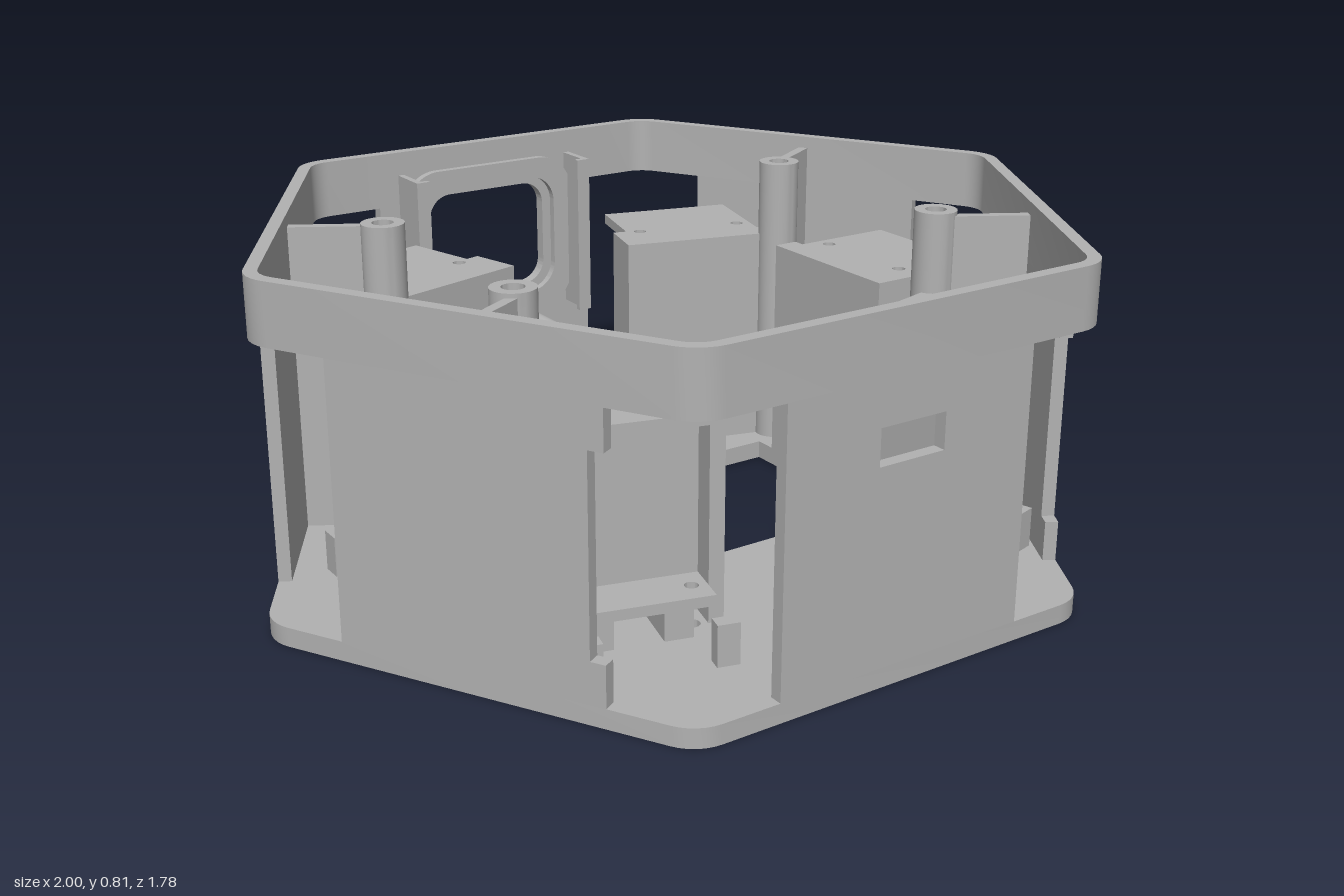
import * as THREE from 'three';
import { toCreasedNormals } from 'three/addons/utils/BufferGeometryUtils.js';

const H = 0.81, FLOOR = 0.045, BAND = 0.67; // total height, floor top, window top
const A = 0.88, T = 0.03, HALF = 0.312;     // apothem, wall thickness, half panel length
const HOLE = 0.025;

const grey = new THREE.MeshStandardMaterial({ color: 0xb2b2b2 });

function add(parent, name, geo) {
  const mesh = new THREE.Mesh(toCreasedNormals(geo, 0.5), grey);
  mesh.name = name;
  parent.add(mesh);
  return mesh;
}

function box(parent, name, x0, x1, y0, y1, z0, z1) {
  const g = new THREE.BoxGeometry(x1 - x0, y1 - y0, z1 - z0);
  g.translate((x0 + x1) / 2, (y0 + y1) / 2, (z0 + z1) / 2);
  return add(parent, name, g);
}

const poly = (pts) => new THREE.Shape(pts.map(([x, y]) => new THREE.Vector2(x, y)));
const rect = (x0, x1, y0, y1) => poly([[x0, y0], [x1, y0], [x1, y1], [x0, y1]]);
const circle = (x, y, r) => new THREE.Shape().absarc(x, y, r, 0, Math.PI * 2, false);

function roundRect(cy, w, h, r) {
  const s = new THREE.Shape();
  s.absarc(w - r, cy + h - r, r, 0, Math.PI / 2);
  s.absarc(-w + r, cy + h - r, r, Math.PI / 2, Math.PI);
  s.absarc(-w + r, cy - h + r, r, Math.PI, Math.PI * 1.5);
  s.absarc(w - r, cy - h + r, r, Math.PI * 1.5, Math.PI * 2);
  s.closePath();
  return s;
}

const extrude = (shape, depth) =>
  new THREE.ExtrudeGeometry(shape, { depth, bevelEnabled: false, curveSegments: 16 });

// upright panel: shape in x/y, thickness from z0 to z1
const upright = (shape, z0, z1) => extrude(shape, z1 - z0).translate(0, 0, z0);
// lying plate: shape in x/-z, thickness from y0 to y1
const plate = (shape, y0, y1) => extrude(shape, y1 - y0).rotateX(-Math.PI / 2).translate(0, y0, 0);

// rounded hexagon outline, starting and ending beside the back edge
function hexPoints(apothem, radius) {
  const pts = [], d = (apothem - radius) * 2 / Math.sqrt(3);
  for (let i = 0; i < 6; i++) {
    const mid = Math.PI * (2 / 3 + i / 3); // shape +y is the back
    for (let j = 0; j <= 6; j++) {
      const a = mid + (j / 6 - 0.5) * Math.PI / 3;
      pts.push([d * Math.cos(mid) + radius * Math.cos(a), d * Math.sin(mid) + radius * Math.sin(a)]);
    }
  }
  return pts;
}

function tube(parent, name, x, z, ro, ri, y1) {
  const s = circle(x, -z, ro);
  if (ri) s.holes.push(circle(x, -z, ri));
  add(parent, name, plate(s, FLOOR, y1));
}

// open bracket: local +z points outward, tall cheek on the given side
function motorBracket(parent, x, z, angle, side) {
  const g = new THREE.Group();
  g.name = 'motorBracket';
  g.position.set(x, 0, z);
  g.rotation.y = angle;
  parent.add(g);
  const wall = poly([[-0.2, FLOOR], [-0.055, FLOOR], [-0.055, 0.11], [0.055, 0.11], [0.055, FLOOR],
    [0.2, FLOOR], [0.2, 0.6], [-0.2, 0.6]]);
  add(g, 'bracketWall', upright(wall, 0, 0.062));
  const c0 = side > 0 ? 0.17 : -0.205;
  box(g, 'bracketCheek', c0, c0 + 0.035, FLOOR, 0.6, 0, 0.13);
  for (const [name, depth, y0, y1] of [['topTab', 0.32, 0.575, 0.6], ['bottomTab', 0.18, 0.11, 0.135]]) {
    const s = rect(-0.17, 0.17, -depth, -0.06);
    for (const sx of [-1, 1]) s.holes.push(circle(sx * 0.135, -0.12, 0.016));
    add(g, name, plate(s, y0, y1));
  }
  for (const sx of [-1, 1]) {
    box(g, 'tabLeg', sx * 0.0875 - 0.0325, sx * 0.0875 + 0.0325, FLOOR, 0.11, 0.05, 0.18);
    box(g, 'endStop', sx * 0.145 - 0.025, sx * 0.145 + 0.025, FLOOR, 0.14, 0.285, 0.32);
  }
}

export function createModel() {
  const model = new THREE.Group();
  model.name = 'hexagonalChassis';
  const body = new THREE.Group();
  body.name = 'body';
  body.position.z = 0.01;
  model.add(body);

  const deg = Math.PI / 180;
  const brackets = [];
  for (const sx of [1, -1]) {
    brackets.push([sx * 0.48, 0, sx * 90 * deg, -sx]);
    brackets.push([sx * 0.365, 0.355, sx * 15 * deg, -sx]);
    brackets.push([sx * 0.365, -0.355, sx * 165 * deg, sx]);
  }

  // floor with the battery opening and screw holes
  const floor = poly(hexPoints(A, 0.1));
  floor.holes.push(rect(-0.48, 0.48, -0.255, 0.255));
  for (const sx of [-1, 1]) for (const sz of [-1, 1])
    for (const x of [0.56, 0.32]) floor.holes.push(circle(sx * x, sz * 0.3, HOLE));
  for (const [x, z, a] of brackets) for (const v of [-0.135, 0.135])
    floor.holes.push(circle(x + 0.12 * Math.sin(a) + v * Math.cos(a),
      -(z + 0.12 * Math.cos(a) - v * Math.sin(a)), HOLE * 0.8));
  add(body, 'floor', plate(floor, 0, FLOOR));

  // upper band, open where the full-height back panel sits
  const band = [[-HALF, A], ...hexPoints(A, 0.1), [HALF, A],
    [HALF, A - T], ...hexPoints(A - T, 0.07).reverse(), [-HALF, A - T]];
  add(body, 'upperBand', plate(poly(band), BAND, H));

  // side panels between the corner windows
  const notchEnd = [0, -1, 1, 0, -1, 1];
  for (let k = 0; k < 6; k++) {
    const top = k === 3 ? H : BAND, e = notchEnd[k], n = HALF - 0.035;
    const r = e > 0 ? [[HALF, 0.14], [n, 0.14], [n, 0.58], [HALF, 0.58]] : [];
    const l = e < 0 ? [[-HALF, 0.58], [-n, 0.58], [-n, 0.14], [-HALF, 0.14]] : [];
    const s = poly([[-HALF, FLOOR], [HALF, FLOOR], ...r, [HALF, top], [-HALF, top], ...l]);
    if (k === 0) s.holes.push(rect(-0.083, 0.083, 0.49, 0.572));
    if (k === 3) s.holes.push(roundRect(0.54, 0.17, 0.14, 0.06), circle(0, 0.197, 0.05), circle(-0.23, 0.197, 0.02));
    add(body, k === 0 ? 'frontPanel' : k === 3 ? 'backPanel' : 'sidePanel',
      upright(s, A - T, A)).rotation.y = k * 60 * deg;
  }

  // raised frame outside and seat inside the back opening
  for (const [name, w, h, z0, z1] of [['backFrame', 0.25, 0.21, A, A + 0.022], ['innerSeat', 0.25, 0.21, 0.83, 0.85]]) {
    const s = roundRect(0.54, w, h, 0.1);
    s.holes.push(roundRect(0.54, 0.195, 0.16, 0.075));
    add(body, name, upright(s, z0, z1)).rotation.y = Math.PI;
  }

  // funnel-shaped socket ring under the frame
  const profile = [[0.077, 0], [0.07, 0.016], [0.052, 0.016], [0.03, -0.03], [0.05, -0.03], [0.077, 0]];
  const ring = new THREE.LatheGeometry(profile.map(([x, y]) => new THREE.Vector2(x, y)), 32);
  add(body, 'socketRing', ring.rotateX(-Math.PI / 2).translate(0, 0.197, -A));

  for (const sx of [-1, 1]) {
    // guide rails and screw posts inside the back panel
    box(body, 'guideRail', sx * 0.248 - 0.008, sx * 0.248 + 0.008, 0.33, 0.75, -0.85, -0.745);
    box(body, 'railLip', sx * 0.238 - 0.018, sx * 0.238 + 0.018, 0.33, 0.75, -0.757, -0.742);
    for (const y of [0.11, 0.28]) {
      const post = new THREE.CylinderGeometry(0.03, 0.03, 0.14, 24).rotateX(Math.PI / 2);
      add(body, 'screwPost', post.translate(sx * 0.137, y, -0.785));
    }
    // tall pillars with ribs to the wall, and low standoffs
    for (const sz of [-1, 1]) {
      tube(body, 'tallPillar', sx * 0.56, sz * 0.3, 0.05, HOLE, 0.79);
      const rib = box(body, 'pillarRib', -0.012, 0.012, FLOOR, 0.78, 0.67, 0.855);
      rib.rotation.y = sx * (sz > 0 ? 60 : 120) * deg;
      tube(body, 'standoff', sx * 0.32, sz * 0.3, 0.045, HOLE, 0.24);
      tube(body, 'supportPeg', sx * 0.19, sz * 0.3, 0.045, 0, 0.2);
    }
  }

  for (const b of brackets) motorBracket(body, ...b);
  return model;
}
